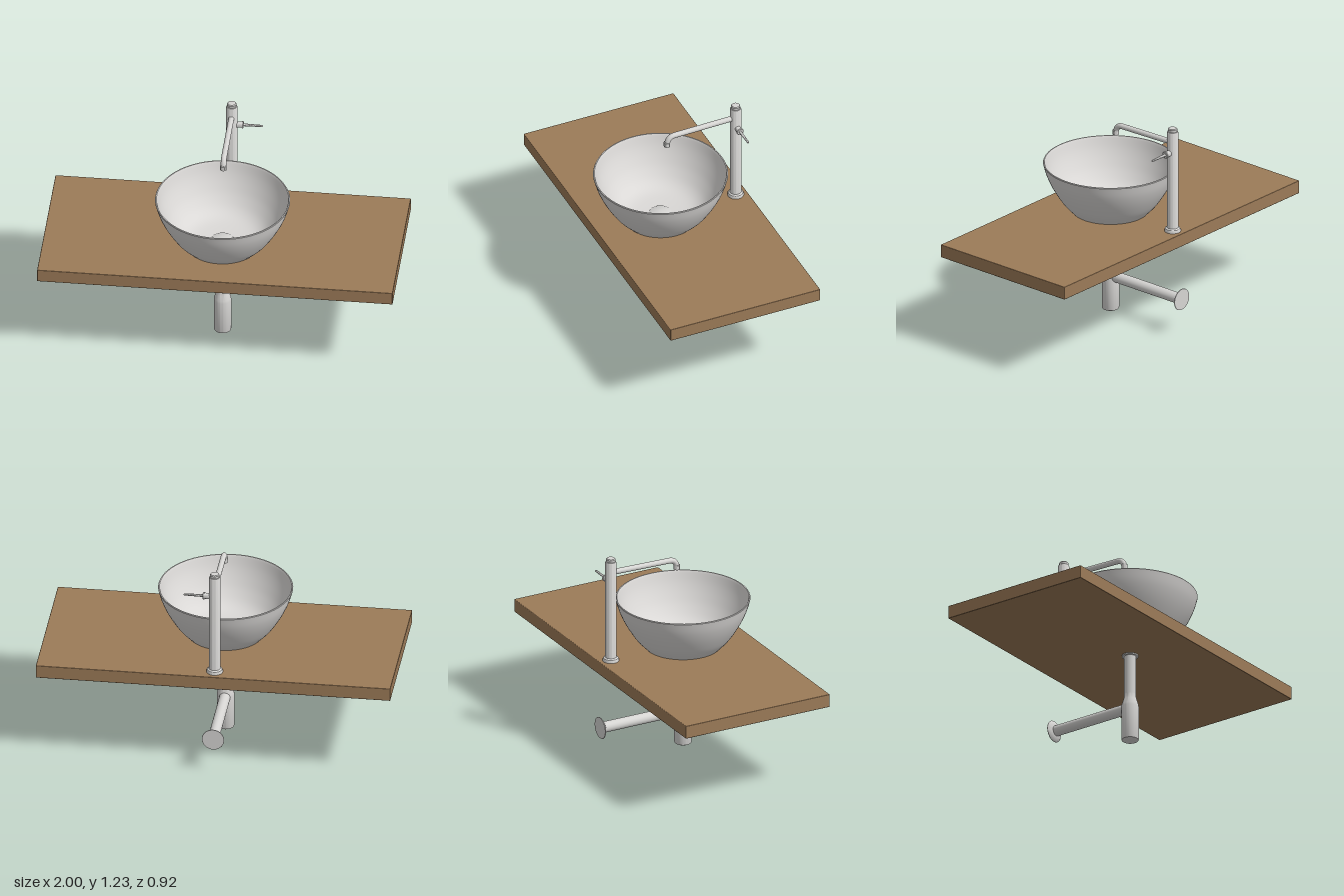
import * as THREE from 'three';
import { RoundedBoxGeometry } from 'three/addons/geometries/RoundedBoxGeometry.js';
import { toCreasedNormals } from 'three/addons/utils/BufferGeometryUtils.js';

const material = (name, color) => new THREE.MeshStandardMaterial({ name, color });

export function createModel() {
  const wood = material('warm wood', 0x9c7b58);
  const ceramic = material('white ceramic', 0xdad8d6);
  const metal = material('pale metal', 0xd6d5d3);

  const model = new THREE.Group();
  model.name = 'washbasin';

  function add(parent, name, geometry, mat, x = 0, y = 0, z = 0) {
    const mesh = new THREE.Mesh(geometry, mat);
    mesh.name = name;
    mesh.position.set(x, y, z);
    parent.add(mesh);
    return mesh;
  }
  // Turned part from [radius, height] pairs, listed from bottom to top
  function turned(points, segments = 48, crease = 0.6) {
    const profile = points.map(([r, y]) => new THREE.Vector2(r, y));
    return toCreasedNormals(new THREE.LatheGeometry(profile, segments), crease);
  }
  function group(name, x, y, z) {
    const g = new THREE.Group();
    g.name = name;
    g.position.set(x, y, z);
    model.add(g);
    return g;
  }
  // Smooth run of profile points
  const smooth = (points, n) => new THREE.SplineCurve(points.map(([r, y]) => new THREE.Vector2(r, y)))
    .getPoints(n).map((p) => [p.x, p.y]);

  // Countertop
  add(model, 'countertop', new RoundedBoxGeometry(2, 0.077, 0.918, 2, 0.004), wood, 0, 0.562, 0);

  // Basin: outer wall, thin rim, inner wall
  const basin = group('basin', 0, 0.6, 0.07);
  const outer = smooth([[0.215, 0], [0.262, 0.05], [0.3, 0.105], [0.334, 0.165], [0.36, 0.225], [0.378, 0.286]], 20);
  const inner = smooth([[0.368, 0.286], [0.349, 0.225], [0.322, 0.165], [0.286, 0.105], [0.235, 0.05], [0.17, 0.022], [0.06, 0.013]], 26);
  add(basin, 'bowl', turned([[0, 0], ...outer, [0.376, 0.29], [0.37, 0.29], ...inner, [0, 0.012]], 80), ceramic);
  add(basin, 'drainCover', turned([[0.062, 0.008], [0.062, 0.018], [0.056, 0.022], [0, 0.024]]), metal);

  // Tap column with flared foot and cap
  const tap = group('tap', 0, 0.6, -0.39);
  add(tap, 'tapColumn', turned([
    [0, 0], [0.046, 0], [0.046, 0.008], [0.042, 0.018], [0.033, 0.024], [0.032, 0.03],
    [0.032, 0.598], [0.029, 0.605], [0.024, 0.605], [0.026, 0.61], [0.026, 0.62], [0.022, 0.625], [0, 0.627],
  ]), metal);

  // Spout bending down to the nozzle
  const v = (y, z) => new THREE.Vector3(0, y, z);
  const path = new THREE.CurvePath();
  path.add(new THREE.LineCurve3(v(0.538, 0.02), v(0.53, 0.375)));
  path.add(new THREE.CubicBezierCurve3(v(0.53, 0.375), v(0.529, 0.4), v(0.515, 0.416), v(0.482, 0.421)));
  add(tap, 'spout', new THREE.TubeGeometry(path, 60, 0.016, 20), metal);
  add(tap, 'nozzle', turned([[0, 0], [0.014, 0], [0.018, 0.002], [0.018, 0.028], [0.015, 0.031], [0, 0.031]], 32),
    metal, 0, 0.467, 0.421);

  // Side handle
  const hub = add(tap, 'handleHub', turned([[0, 0], [0.017, 0], [0.017, 0.037], [0.021, 0.037],
    [0.021, 0.042], [0.018, 0.045], [0, 0.045]], 32), metal, 0.021, 0.481, 0);
  hub.rotation.z = -Math.PI / 2;
  const lever = add(tap, 'handleLever', turned([[0, 0], [0.008, 0], [0.006, 0.111], [0.004, 0.114], [0, 0.114]], 20),
    metal, 0.06, 0.481, 0);
  lever.rotation.z = -Math.PI / 2;

  // Drain tail pipe and bottle trap
  const drain = group('drain', 0, 0, 0.07);
  add(drain, 'drainCollar', new THREE.CylinderGeometry(0.046, 0.046, 0.01, 40), metal, 0, 0.521, 0);
  add(drain, 'tailPipe', new THREE.CylinderGeometry(0.033, 0.033, 0.25, 40), metal, 0, 0.4, 0);
  add(drain, 'bottleTrap', turned([[0, 0], [0.042, 0], [0.047, 0.003], [0.049, 0.01], [0.049, 0.205],
    [0.047, 0.22], [0.038, 0.25], [0.034, 0.266], [0.033, 0.283], [0, 0.283]]), metal);

  // Waste pipe running back to its domed wall plate
  const waste = add(drain, 'wastePipe', new THREE.CylinderGeometry(0.031, 0.031, 0.49, 40), metal, 0, 0.201, -0.275);
  waste.rotation.x = Math.PI / 2;
  const plate = add(drain, 'wallPlate', turned([[0, 0], [0.062, 0], [0.063, 0.003], [0.056, 0.009], [0.045, 0.014],
    [0.033, 0.018], [0, 0.018]]), metal, 0, 0.201, -0.529);
  plate.rotation.x = Math.PI / 2;

  return model;
}
